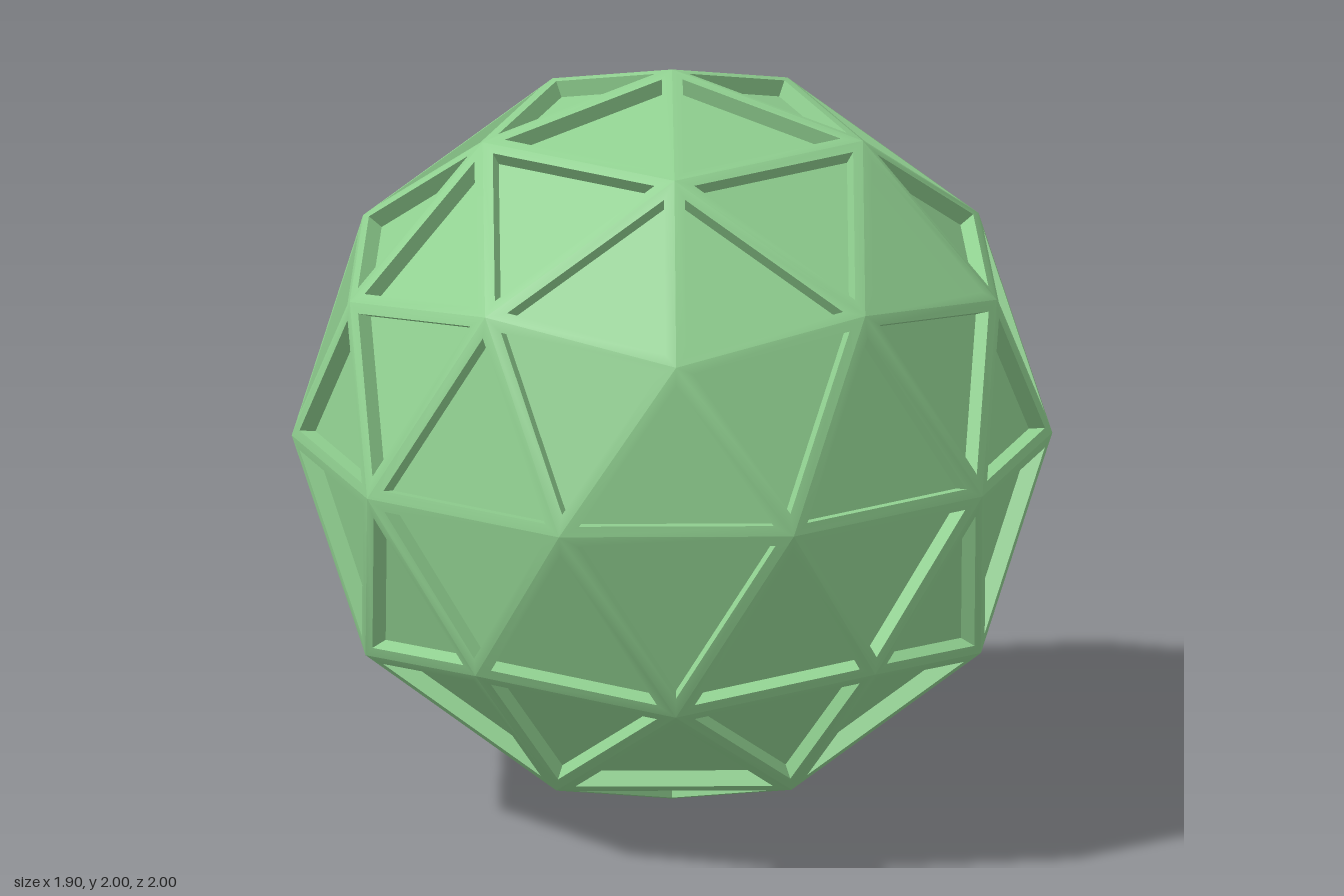
import * as THREE from 'three';
import { toCreasedNormals } from 'three/addons/utils/BufferGeometryUtils.js';

const INSET = 0.028; // half width of a strut
const DEPTH = 0.045; // how far the panels sit below the struts

// Triangles of an icosahedron standing on a corner
function icosahedronFaces() {
  const ring = (y, turn) => Array.from({ length: 5 }, (_, k) => {
    const a = (k + turn) * Math.PI * 2 / 5;
    return new THREE.Vector3(2 * Math.cos(a), y, 2 * Math.sin(a)).normalize();
  });
  const top = new THREE.Vector3(0, 1, 0), bottom = new THREE.Vector3(0, -1, 0);
  const upper = ring(1, 0), lower = ring(-1, 0.5);
  const faces = [];
  for (let k = 0; k < 5; k++) {
    const n = (k + 1) % 5;
    faces.push([top, upper[k], upper[n]], [upper[k], lower[k], upper[n]],
      [lower[k], lower[n], upper[n]], [bottom, lower[n], lower[k]]);
  }
  return faces;
}

// Split each triangle in four and push the new corners out to the sphere
function subdivide(faces) {
  const mid = (a, b) => a.clone().add(b).normalize();
  return faces.flatMap(([a, b, c]) => {
    const ab = mid(a, b), bc = mid(b, c), ca = mid(c, a);
    return [[a, ab, ca], [b, bc, ab], [c, ca, bc], [ab, bc, ca]];
  });
}

function geometryFrom(points) {
  const geometry = new THREE.BufferGeometry().setFromPoints(points);
  geometry.computeVertexNormals();
  return geometry;
}

export function createModel() {
  const group = new THREE.Group();
  group.name = 'geodesicSphere';
  const material = new THREE.MeshStandardMaterial({ color: 0x90d090 });
  const strutPoints = [], panelPoints = [];

  for (const face of subdivide(icosahedronFaces())) {
    let [a, b, c] = face;
    const normal = b.clone().sub(a).cross(c.clone().sub(a)).normalize();
    if (normal.dot(a) < 0) {
      [b, c] = [c, b];
      normal.negate();
    }
    const outer = [a, b, c];

    // Inset the triangle evenly about its incentre
    const la = b.distanceTo(c), lb = c.distanceTo(a), lc = a.distanceTo(b);
    const perimeter = la + lb + lc;
    const centre = new THREE.Vector3().addScaledVector(a, la / perimeter)
      .addScaledVector(b, lb / perimeter).addScaledVector(c, lc / perimeter);
    const area = new THREE.Triangle(a, b, c).getArea();
    const keep = 1 - INSET * perimeter / (2 * area);
    const inner = outer.map(v => centre.clone().lerp(v, keep));
    const sunk = inner.map(v => v.clone().addScaledVector(normal, -DEPTH));

    // Strut tops and recess walls
    for (let i = 0; i < 3; i++) {
      const j = (i + 1) % 3;
      strutPoints.push(outer[i], outer[j], inner[j], outer[i], inner[j], inner[i]);
      strutPoints.push(inner[i], inner[j], sunk[j], inner[i], sunk[j], sunk[i]);
    }
    panelPoints.push(...sunk);
  }

  // Struts blend softly across their ridges, recess edges stay sharp
  const struts = new THREE.Mesh(
    toCreasedNormals(geometryFrom(strutPoints), Math.PI / 6), material);
  struts.name = 'strutFrame';

  // Flat recessed panels
  const panels = new THREE.Mesh(geometryFrom(panelPoints), material);
  panels.name = 'recessedPanels';

  struts.position.y = panels.position.y = 1;
  group.add(struts, panels);
  return group;
}
